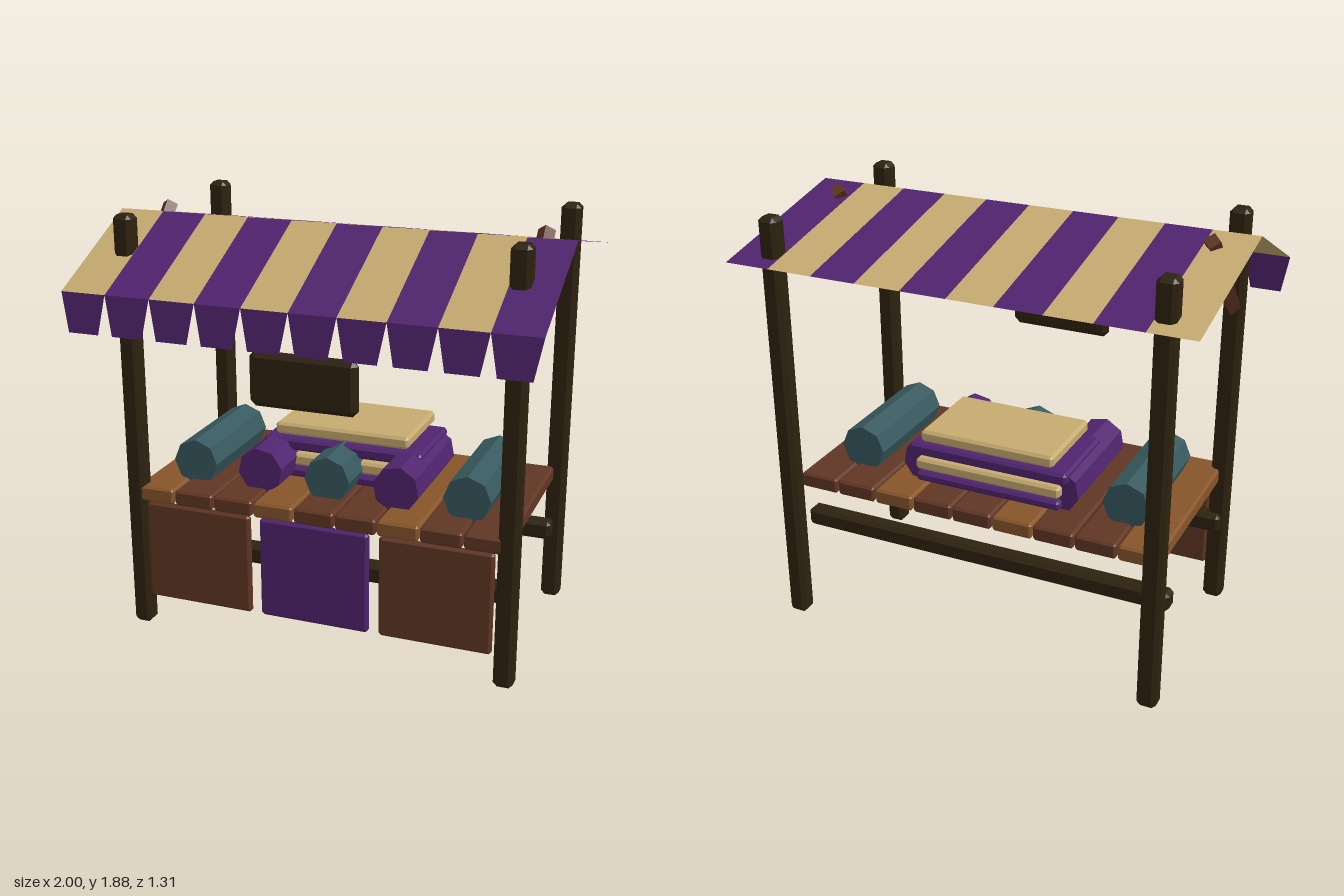
import * as THREE from 'three';
import { ConvexGeometry } from 'three/addons/geometries/ConvexGeometry.js';

function makeMaterial(name, color, side = THREE.FrontSide) {
  const m = new THREE.MeshStandardMaterial({ color, side, flatShading: true });
  m.name = name;
  return m;
}

// Box with every edge and corner cut by c
function chamferBox(w, h, d, c) {
  const points = [];
  for (const x of [-w / 2, w / 2]) for (const y of [-h / 2, h / 2]) for (const z of [-d / 2, d / 2]) {
    const [ix, iy, iz] = [x, y, z].map((v) => v - Math.sign(v) * c);
    points.push(new THREE.Vector3(x, iy, iz), new THREE.Vector3(ix, y, iz), new THREE.Vector3(ix, iy, z));
  }
  return new ConvexGeometry(points);
}

// Four-cornered sheet, corners counter-clockwise from its front
function quad(a, b, c, d) {
  const g = new THREE.BufferGeometry();
  g.setAttribute('position', new THREE.Float32BufferAttribute([a, b, c, a, c, d].flat(), 3));
  g.computeVertexNormals();
  return g;
}

export function createModel() {
  const model = new THREE.Group();
  model.name = 'marketStall';

  const darkWood = makeMaterial('darkWood', 0x2e220f);
  const brownWood = makeMaterial('brownWood', 0x613624);
  const lightWood = makeMaterial('lightWood', 0x87552a);
  const purple = makeMaterial('purpleCloth', 0x50246f, THREE.DoubleSide);
  const tan = makeMaterial('tanCloth', 0xc6aa70, THREE.DoubleSide);
  const teal = makeMaterial('tealCloth', 0x37595f);

  function add(name, geometry, material, x = 0, y = 0, z = 0) {
    const mesh = new THREE.Mesh(geometry, material);
    mesh.name = name;
    mesh.position.set(x, y, z);
    model.add(mesh);
    return mesh;
  }

  // Posts and awning braces
  const postX = 0.844;
  const postGeo = chamferBox(0.085, 1.875, 0.085, 0.018);
  const braceGeo = new THREE.CylinderGeometry(0.036, 0.036, 0.56, 4);
  for (const side of [-1, 1]) {
    add('frontPost', postGeo, darkWood, side * postX, 0.9375, 0.368);
    add('backPost', postGeo, darkWood, side * postX, 0.9375, -0.543);
    add('awningBrace', braceGeo, brownWood, side * postX, 1.645, 0.153).rotation.x = -0.75;
  }

  // Rails under the counter
  const railGeo = chamferBox(1.73, 0.085, 0.08, 0.016);
  add('frontRail', railGeo, darkWood, 0, 0.408, 0.33);
  add('backRail', railGeo, darkWood, 0, 0.408, -0.368);

  // Counter planks
  const plankGeo = chamferBox(0.18, 0.07, 0.88, 0.01);
  for (let i = 0; i < 9; i++) {
    add('counterPlank', plankGeo, i % 3 === 0 ? lightWood : brownWood, (i - 4) * 0.1875, 0.64, -0.035);
  }

  // Front panels
  const panelGeo = chamferBox(0.496, 0.46, 0.035, 0.012);
  for (const i of [-1, 0, 1]) {
    add('frontPanel', panelGeo, i === 0 ? purple : brownWood, i * 0.543, 0.376, 0.392);
  }

  // Hanging board
  add('hangingBoard', chamferBox(0.47, 0.235, 0.055, 0.024), darkWood, 0, 1.267, 0.487);

  // Awning stripes and valance flaps
  const profile = [[1.595, 0.64], [1.845, 0.115], [1.69, -0.655]];
  for (let i = 0; i < 10; i++) {
    const x0 = -1 + i * 0.2, x1 = x0 + 0.2;
    for (let j = 0; j < 2; j++) {
      const [a, b] = [profile[j], profile[j + 1]];
      add('awningStripe', quad([x0, ...a], [x1, ...a], [x1, ...b], [x0, ...b]), i % 2 ? purple : tan);
    }
    add('valanceFlap', quad([x0 + 0.032, 1.428, 0.655], [x1 - 0.032, 1.428, 0.655],
      [x1, 1.595, 0.64], [x0, 1.595, 0.64]), purple);
  }

  // Cloth rolls
  const rollGeo = new THREE.CylinderGeometry(0.104, 0.104, 0.537, 8).rotateX(Math.PI / 2);
  for (let i = -2; i <= 2; i++) {
    const roll = add('clothRoll', rollGeo, i % 2 ? purple : teal, i * 0.3125, 0.756, -0.025);
    if (i % 2) roll.rotation.z = i * -0.2;
  }

  // Stack of folded cloth, bottom to top
  const folds = [[0.68, 0.045, 0.699, purple], [0.68, 0.055, 0.76, tan],
    [0.74, 0.055, 0.829, purple], [0.62, 0.055, 0.9, tan]];
  for (const [w, h, y, material] of folds) {
    add('foldedCloth', chamferBox(w, h, 0.4, 0.012), material, 0, y, -0.13);
  }

  return model;
}
